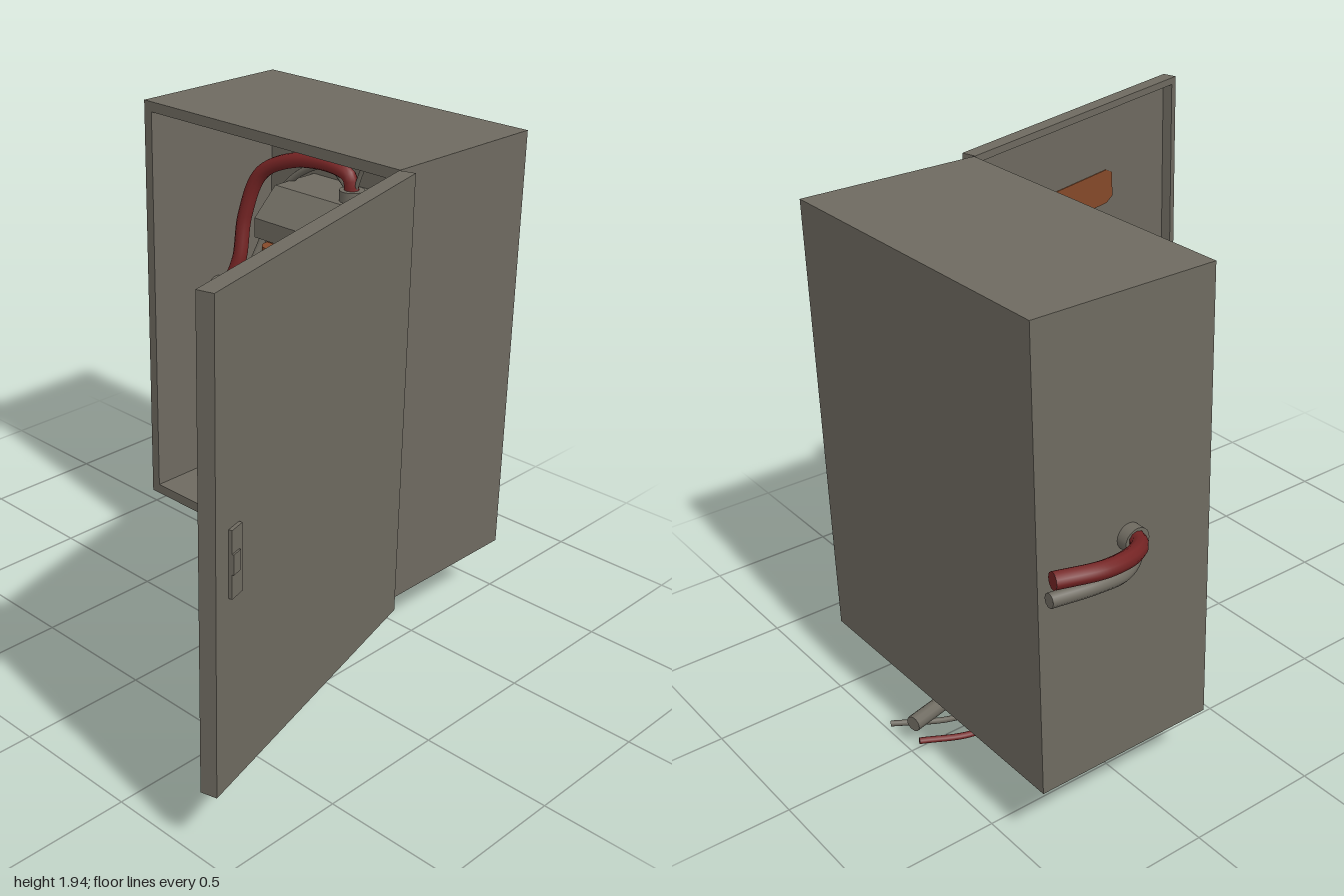
import * as THREE from 'three';

const mat = (name, color) => {
  const m = new THREE.MeshStandardMaterial({ color });
  m.name = name;
  return m;
};

export function createModel() {
  const grey = mat('paintedGrey', 0x6e6a60);
  const red = mat('redInsulation', 0x752424);
  const copper = mat('copper', 0x864a2a);
  const model = new THREE.Group();
  model.name = 'fuseBox';

  const add = (name, geo, material, x = 0, y = 0, z = 0, parent = model) => {
    const m = new THREE.Mesh(geo, material);
    m.name = name;
    m.position.set(x, y, z);
    parent.add(m);
    return m;
  };
  // box given by its min and max corners
  const box = (name, material, a, b, parent = model) =>
    add(name, new THREE.BoxGeometry(b[0] - a[0], b[1] - a[1], b[2] - a[2]), material,
      (a[0] + b[0]) / 2, (a[1] + b[1]) / 2, (a[2] + b[2]) / 2, parent);
  const cyl = (name, material, r, h, x, y, z, sides = 20) =>
    add(name, new THREE.CylinderGeometry(r, r, h, sides), material, x, y, z);
  // rectangular frame extruded along z
  const frame = (x0, y0, x1, y1, w, depth) => {
    const rect = (C, a, b, c, d) => {
      const s = new C();
      s.moveTo(a, b); s.lineTo(c, b); s.lineTo(c, d); s.lineTo(a, d); s.closePath();
      return s;
    };
    const s = rect(THREE.Shape, x0, y0, x1, y1);
    s.holes.push(rect(THREE.Path, x0 + w, y0 + w, x1 - w, y1 - w));
    return new THREE.ExtrudeGeometry(s, { depth, bevelEnabled: false });
  };
  // round cable with flat cut ends
  const cable = (name, material, r, pts) => {
    const curve = new THREE.CatmullRomCurve3(pts.map(p => new THREE.Vector3(...p)));
    const g = new THREE.Group();
    g.name = name;
    add(name + 'Sheath', new THREE.TubeGeometry(curve, 48, r, 10), material, 0, 0, 0, g);
    for (const [t, s] of [[0, -1], [1, 1]]) {
      const end = add(name + 'End', new THREE.CircleGeometry(r, 10), material, 0, 0, 0, g);
      end.position.copy(curve.getPoint(t));
      end.quaternion.setFromUnitVectors(new THREE.Vector3(0, 0, 1), curve.getTangent(t).multiplyScalar(s));
    }
    model.add(g);
  };

  // Cabinet shell
  const Y0 = 0.255, Y1 = 1.94;
  add('cabinetWalls', frame(-0.73, Y0, 0.55, Y1, 0.04, 0.66), grey, 0, 0, -0.905);
  box('cabinetBack', grey, [-0.73, Y0, -0.945], [0.55, Y1, -0.905]);

  // Open door: local x runs from hinge to free edge, local +z is the inner face
  const door = new THREE.Group();
  door.name = 'door';
  door.position.set(0.55, 0, -0.24);
  door.rotation.y = -THREE.MathUtils.degToRad(75);
  model.add(door);
  const L = 1.273;
  add('doorRim', frame(0, Y0, L, Y1, 0.028, 0.043), grey, 0, 0, -0.043, door);
  box('doorPanel', grey, [0, Y0, -0.06], [L, Y1, -0.043], door);
  box('doorHandle', grey, [1.14, 0.945, -0.072], [1.2, 1.18, -0.06], door);
  box('doorLatch', grey, [1.16, 1.03, -0.078], [1.2, 1.1, -0.07], door);
  const label = new THREE.Shape();
  const lw = 0.21, lh = 0.07;
  [[-lw + 0.04, -lh], [lw - 0.04, -lh], [lw, -lh + 0.02], [lw, lh - 0.02],
    [lw - 0.04, lh], [-lw + 0.04, lh], [-lw, lh - 0.02], [-lw, -lh + 0.02]]
    .forEach(([x, y], i) => (i ? label.lineTo(x, y) : label.moveTo(x, y)));
  add('warningLabel', new THREE.ExtrudeGeometry(label, { depth: 0.004, bevelEnabled: false }),
    copper, 0.67, 1.58, -0.043, door);

  // Fuse holder body: side profile (z, y) swept across x
  const profile = new THREE.Shape();
  [[-0.906, 0.63], [-0.68, 0.63], [-0.565, 0.85], [-0.64, 0.85], [-0.64, 1.38],
    [-0.565, 1.38], [-0.565, 1.46], [-0.68, 1.57], [-0.906, 1.57]]
    .forEach(([z, y], i) => (i ? profile.lineTo(z, y) : profile.moveTo(z, y)));
  const body = new THREE.ExtrudeGeometry(profile, { depth: 0.715, bevelEnabled: false });
  body.rotateY(-Math.PI / 2);
  add('fuseHolder', body, grey, 0.265, 0, 0);

  // Dividers between the bays, with a round knob below each
  for (const x of [-0.275, -0.09, 0.085]) {
    box('divider', grey, [x - 0.022, 0.85, -0.64], [x + 0.022, 1.38, -0.595]);
    box('dividerRidge', grey, [x - 0.01, 0.85, -0.6], [x + 0.01, 1.38, -0.57]);
    cyl('knob', grey, 0.043, 0.06, x, 0.81, -0.595).rotation.x = Math.PI / 2;
  }

  // Copper contacts
  for (const x of [-0.36, -0.185, -0.005, 0.175])
    for (const y of [0.89, 1.34])
      box('contact', copper, [x - 0.057, y - 0.039, -0.645], [x + 0.057, y + 0.039, -0.6]);

  // Remaining fuse
  cyl('fuseTube', grey, 0.045, 0.38, -0.36, 1.115, -0.595);
  for (const y of [0.9, 1.322]) cyl('fuseCap', copper, 0.055, 0.076, -0.36, y, -0.595);
  add('indicator', new THREE.SphereGeometry(0.015, 12, 8), red, -0.09, 1.42, -0.565);

  // Cable lugs with bolts
  for (const [x, y] of [[-0.275, 0.67], [0.085, 0.68]]) {
    box('lug', copper, [x - 0.022, y - 0.06, -0.655], [x + 0.022, y + 0.05, -0.615]);
    cyl('lugBolt', grey, 0.014, 0.02, x, y + 0.02, -0.61, 6).rotation.x = Math.PI / 2;
  }

  // Cable glands
  cyl('sideGland', grey, 0.048, 0.115, -0.715, 1.1, -0.585).rotation.z = Math.PI / 2;
  cyl('topGland', grey, 0.05, 0.05, -0.105, 1.588, -0.75);
  for (const x of [-0.205, 0.135]) cyl('bottomGland', grey, 0.05, 0.07, x, 0.313, -0.5);

  // Outside cables
  cable('redSupplyCable', red, 0.03, [[-0.7, 1.11, -0.58], [-0.78, 1.11, -0.59], [-0.87, 1.14, -0.68],
    [-0.905, 1.16, -0.82], [-0.87, 1.17, -0.99]]);
  cable('greySupplyCable', grey, 0.025, [[-0.7, 1.09, -0.58], [-0.78, 1.08, -0.6], [-0.85, 1.07, -0.7],
    [-0.865, 1.08, -0.82], [-0.85, 1.09, -0.99]]);
  cable('thickOutletCable', grey, 0.03, [[0.145, 0.33, -0.5], [0.15, 0.22, -0.5], [0.13, 0.145, -0.58],
    [0.07, 0.115, -0.75], [0.01, 0.11, -0.98]]);
  cable('redOutletWire', red, 0.012, [[-0.215, 0.33, -0.5], [-0.205, 0.22, -0.51], [-0.17, 0.11, -0.63],
    [-0.1, 0.045, -0.8], [-0.025, 0.055, -0.98]]);
  cable('greyOutletWire', grey, 0.011, [[-0.195, 0.33, -0.5], [-0.17, 0.22, -0.51], [-0.08, 0.11, -0.63],
    [0.03, 0.035, -0.8], [0.17, 0.015, -0.98]]);

  // Inside cables
  cable('redInnerCable', red, 0.03, [[-0.7, 1.11, -0.58], [-0.63, 1.13, -0.59], [-0.595, 1.23, -0.62],
    [-0.59, 1.42, -0.65], [-0.53, 1.6, -0.68], [-0.38, 1.68, -0.71], [-0.2, 1.69, -0.74],
    [-0.12, 1.66, -0.75], [-0.105, 1.6, -0.75]]);
  cable('greyInnerCable', grey, 0.015, [[-0.68, 1.1, -0.59], [-0.6, 1.14, -0.64], [-0.56, 1.3, -0.72],
    [-0.52, 1.48, -0.76], [-0.42, 1.6, -0.78], [-0.25, 1.67, -0.78], [-0.12, 1.6, -0.76]]);
  cable('leftFeedCable', grey, 0.024, [[-0.7, 1.09, -0.58], [-0.64, 1.05, -0.58], [-0.63, 0.8, -0.6],
    [-0.6, 0.55, -0.62], [-0.51, 0.42, -0.63], [-0.4, 0.39, -0.64], [-0.31, 0.46, -0.64], [-0.275, 0.63, -0.64]]);
  cable('rightFeedCable', grey, 0.028, [[-0.7, 1.1, -0.58], [-0.6, 1.06, -0.6], [-0.53, 0.88, -0.64],
    [-0.51, 0.68, -0.66], [-0.45, 0.49, -0.68], [-0.34, 0.38, -0.68], [-0.12, 0.36, -0.67],
    [0.04, 0.44, -0.65], [0.085, 0.63, -0.64]]);
  cable('controlWire', grey, 0.014, [[-0.68, 1.1, -0.57], [-0.61, 1.0, -0.57], [-0.6, 0.7, -0.56],
    [-0.55, 0.57, -0.55], [-0.4, 0.53, -0.55], [-0.1, 0.55, -0.54], [0.05, 0.5, -0.52],
    [0.13, 0.41, -0.5], [0.135, 0.33, -0.5]]);
  cable('loopWire', grey, 0.009, [[-0.095, 1.6, -0.75], [-0.03, 1.74, -0.75], [0.12, 1.795, -0.74],
    [0.3, 1.74, -0.72], [0.41, 1.5, -0.7], [0.43, 1.27, -0.67], [0.4, 0.95, -0.63],
    [0.33, 0.67, -0.58], [0.2, 0.45, -0.52], [0.14, 0.33, -0.5]]);
  cable('outletRiser', grey, 0.03, [[0.14, 0.32, -0.51], [0.17, 0.4, -0.55], [0.165, 0.5, -0.64], [0.125, 0.635, -0.72]]);
  cable('redStubWire', red, 0.016, [[-0.22, 0.33, -0.5], [-0.225, 0.42, -0.5], [-0.19, 0.47, -0.5], [-0.14, 0.48, -0.49]]);
  cable('greyStubWire', grey, 0.016, [[-0.185, 0.33, -0.5], [-0.165, 0.41, -0.5], [-0.14, 0.46, -0.5], [-0.105, 0.48, -0.49]]);

  return model;
}
